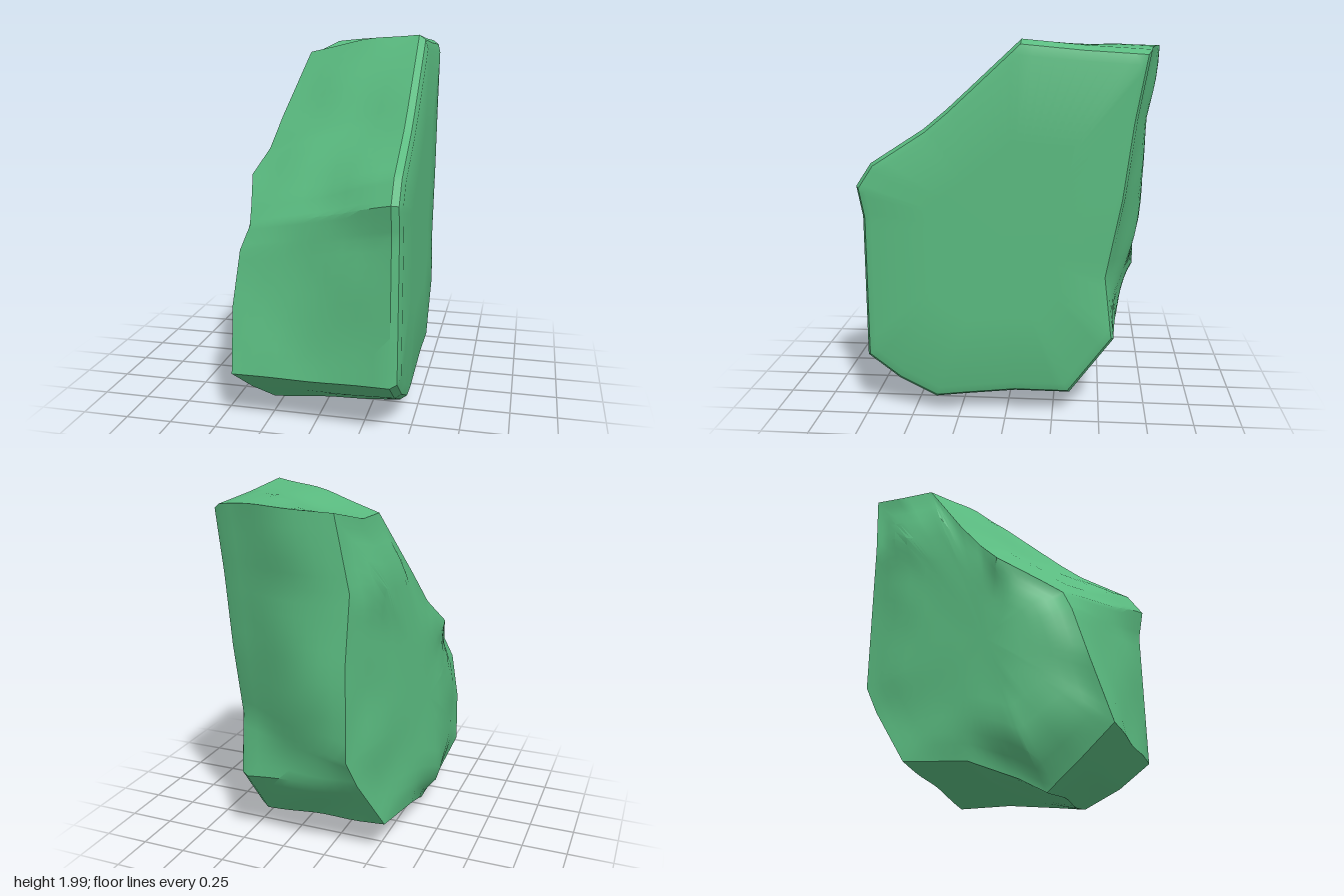
import * as THREE from 'three';
import { toCreasedNormals } from 'three/addons/utils/BufferGeometryUtils.js';

// Matching corners around the rock: flat side [z, y], rough side [x, y, z]
const CORNERS = [
  [0.75, 0.31, -0.42, 0.28, 0.69],   // lower front edge
  [0.75, 0.75, -0.44, 0.62, 0.59],
  [0.75, 1.08, -0.42, 0.9, 0.51],
  [0.78, 1.24, -0.38, 1.02, 0.46],   // front ridge
  [0.7, 1.36, -0.41, 1.1, 0.34],
  [0.42, 1.54, -0.47, 1.23, 0.13],   // side spur
  [0.3, 1.64, -0.4, 1.36, 0.02],
  [0.18, 1.75, -0.36, 1.53, -0.11],
  [-0.08, 1.99, -0.25, 1.88, -0.34], // top front edge
  [-0.4, 1.96, -0.24, 1.88, -0.53],
  [-0.72, 1.94, -0.17, 1.93, -0.72], // top back corner
  [-0.66, 1.6, -0.23, 1.55, -0.68],
  [-0.61, 1.2, -0.21, 1.2, -0.69],   // back edge
  [-0.53, 0.78, -0.21, 0.68, -0.69],
  [-0.57, 0.44, -0.24, 0.52, -0.61], // back undercut
  [-0.34, 0.13, -0.32, 0.21, -0.41],
  [-0.05, 0.13, -0.36, 0.17, -0.05],
  [0.22, 0.1, -0.33, 0.07, 0.2],
  [0.38, 0.08, -0.3, 0.0, 0.33],     // lowest point
  [0.58, 0.18, -0.37, 0.14, 0.52],
];
const SUB = 5;
const { lerp, smoothstep } = THREE.MathUtils;

// Smooth repeatable surface unevenness
const ripple = (x, y, z) =>
  Math.sin(7 * x + 5 * y + 2) * Math.sin(6 * z - 4 * y) + 0.6 * Math.sin(13 * y + 9 * z) * Math.sin(11 * x - 8 * z + 1);

// Corner list subdivided along each straight edge
function outline() {
  const points = [];
  CORNERS.forEach((c, i) => {
    const n = CORNERS[(i + 1) % CORNERS.length];
    for (let s = 0; s < SUB; s++) points.push(c.map((v, k) => v + (n[k] - v) * s / SUB));
  });
  return points;
}

function rockGeometry() {
  const loop = outline();
  const rows = [];
  const flatCentre = new THREE.Vector3(0.47, 1.0, 0.02);
  const roughCentre = new THREE.Vector3(-0.4, 0.8, 0.05);
  const ledge = new THREE.Vector3(-0.28, 1.55, -0.5);
  const flatPoint = p => new THREE.Vector3(0.42, p[1], p[0]);
  const roughPoint = p => new THREE.Vector3(p[2], p[3], p[4]);

  // Flat side with its rounded rim
  for (const [x, scale] of [[0.47, 0], [0.47, 0.5], [0.47, 0.925], [0.455, 0.975]]) {
    rows.push(loop.map(p => {
      const v = flatPoint(p).sub(flatCentre).multiplyScalar(scale).add(flatCentre);
      v.x = x;
      return v;
    }));
  }
  // Faces spanning from the flat side to the rough side
  for (const t of [0, 0.1, 0.2, 0.3, 0.4, 0.5, 0.6, 0.7, 0.8, 0.9, 1]) {
    rows.push(loop.map(p => {
      const v = flatPoint(p).lerp(roughPoint(p), t);
      const arch = Math.sin(Math.PI * t);
      const back = smoothstep(-v.z, 0.45, 0.7) * smoothstep(v.y, 0.5, 1.1);
      v.z -= 0.06 * Math.sin(Math.PI * t ** 1.4) * back;
      v.y += 0.02 * arch * smoothstep(v.y, 1.8, 1.95);
      const n = 0.01 * arch * ripple(v.x, v.y, v.z);
      v.y += n;
      v.z += n;
      return v;
    }));
  }
  // Rough side: a slanted, uneven face with a ledge below the top back corner
  for (const t of [0.06, 0.13, 0.22, 0.35, 0.5, 0.65, 0.8, 1]) {
    rows.push(loop.map(p => {
      const v = roughPoint(p).lerp(roughCentre, t);
      const slant = Math.max(-0.445, -0.4 - 0.24 * v.z);
      v.x = lerp(v.x, slant, smoothstep(t, 0, 0.35));
      const fade = Math.min(1, 4 * t) * (1 - t);
      const bump = Math.exp(-v.distanceToSquared(ledge) / 0.02);
      v.x += fade * (0.012 * ripple(v.x, v.y, v.z) - 0.06 * bump);
      return v;
    }));
  }

  // Skin between neighbouring rows; the first and last rows are single points
  const count = loop.length;
  const index = [];
  for (let r = 0; r < rows.length - 1; r++) {
    for (let j = 0; j < count; j++) {
      const a = r * count + j, b = r * count + (j + 1) % count;
      const c = a + count, d = b + count;
      if (r > 0) index.push(a, b, c);
      if (r < rows.length - 2) index.push(b, d, c);
    }
  }
  const geometry = new THREE.BufferGeometry().setFromPoints(rows.flat());
  geometry.setIndex(index);
  return toCreasedNormals(geometry, 0.6);
}

export function createModel() {
  const group = new THREE.Group();
  group.name = 'rock';
  const stone = new THREE.Mesh(rockGeometry(), new THREE.MeshStandardMaterial({ color: 0x5abb80 }));
  stone.name = 'stone';
  group.add(stone);
  return group;
}
